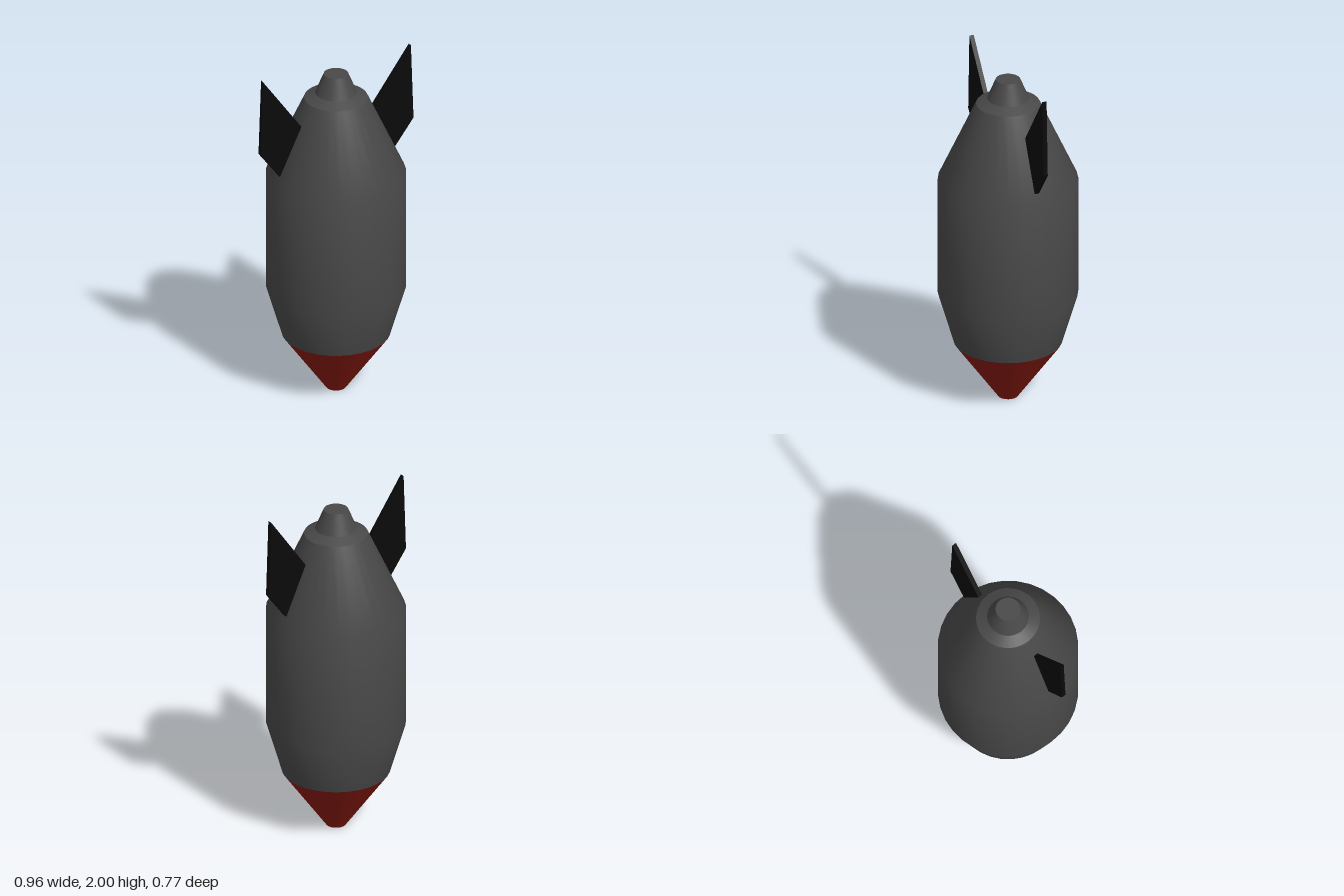
import * as THREE from 'three';

const SEGMENTS = 32;

export function createModel() {
  const model = new THREE.Group();
  const grey = new THREE.MeshStandardMaterial({ color: 0x484848 });
  const red = new THREE.MeshStandardMaterial({ color: 0x8a1a10 });
  const black = new THREE.MeshStandardMaterial({ color: 0x0a0a0a });

  // Turned part from a [radius, height] profile listed bottom to top
  function turned(name, profile, material) {
    const points = profile.map(([r, y]) => new THREE.Vector2(r, y));
    const mesh = new THREE.Mesh(new THREE.LatheGeometry(points, SEGMENTS), material);
    mesh.name = name;
    model.add(mesh);
  }

  // Nose, pointing down
  turned('noseTip', [[0, 0], [0.055, 0]], red);
  turned('noseCone', [[0.055, 0], [0.3, 0.34]], red);

  // Casing, shoulder and tail stub; split where the edges are sharp
  turned('casing', [[0.3, 0.34], [0.387, 0.635], [0.387, 1.33], [0.176, 1.79]], grey);
  turned('shoulder', [[0.176, 1.79], [0.115, 1.82]], grey);
  turned('tailStub', [[0.115, 1.82], [0.068, 1.935]], grey);
  turned('tailCap', [[0.068, 1.935], [0, 1.935]], grey);

  // Two fins, each set just to one side of the centre plane
  const outline = [[0.36, 1.39], [0.48, 1.55], [0.464, 2], [0.228, 1.67]];
  const finShape = new THREE.Shape(outline.map(([x, y]) => new THREE.Vector2(x, y)));
  const finGeometry = new THREE.ExtrudeGeometry(finShape, { depth: 0.026, bevelEnabled: false });
  finGeometry.translate(0, 0, -0.028);
  ['leftFin', 'rightFin'].forEach((name, i) => {
    const fin = new THREE.Mesh(finGeometry, black);
    fin.name = name;
    fin.rotation.y = i * Math.PI;
    model.add(fin);
  });

  return model;
}
